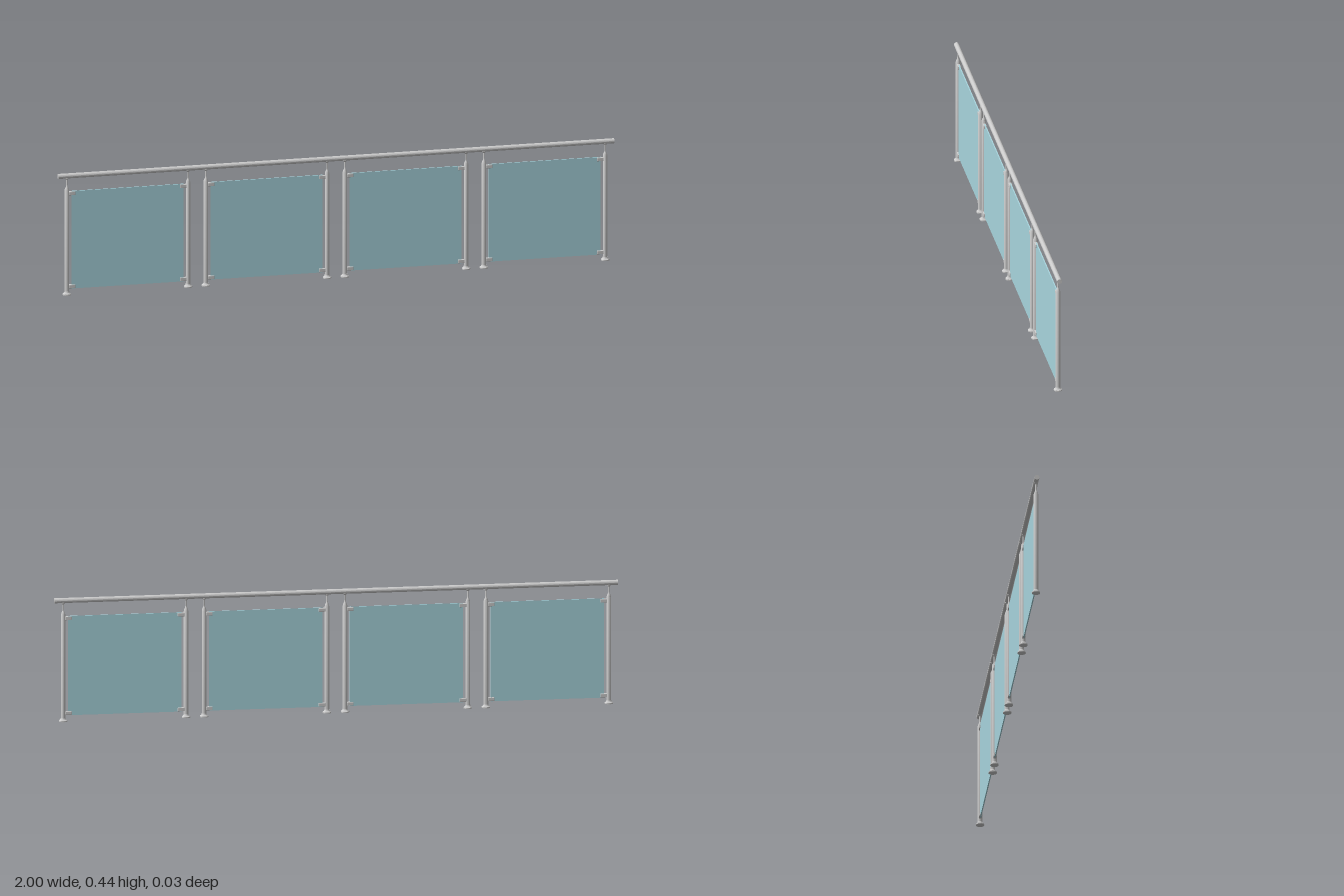
import * as THREE from 'three';
import { toCreasedNormals } from 'three/addons/utils/BufferGeometryUtils.js';
import { RoundedBoxGeometry } from 'three/addons/geometries/RoundedBoxGeometry.js';

const steel = new THREE.MeshStandardMaterial({ color: 0xcccccc });
const glass = new THREE.MeshStandardMaterial({ color: 0xa9d6df });

const PITCH = 0.5;        // distance between panel centres
const POST_X = 0.218;     // post offset from panel centre
const RAIL_Y = 0.434;

function addMesh(parent, name, geometry, material, x = 0, y = 0, z = 0) {
  const mesh = new THREE.Mesh(geometry, material);
  mesh.name = name;
  mesh.position.set(x, y, z);
  parent.add(mesh);
  return mesh;
}

// Turned part from [radius, height] pairs, with sharp steps kept crisp
function turned(points) {
  const profile = points.map(([r, y]) => new THREE.Vector2(r, y));
  return toCreasedNormals(new THREE.LatheGeometry(profile, 24), 0.6);
}

export function createModel() {
  const model = new THREE.Group();
  model.name = 'glassRailing';

  // Floor flange, tube, tapered neck and thin stem
  const flangeGeo = turned([[0, 0], [0.015, 0], [0.015, 0.004], [0.012, 0.006], [0.0095, 0.009], [0.0085, 0.013], [0, 0.013]]);
  const tubeGeo = turned([[0.0082, 0.004], [0.0082, 0.382], [0.0072, 0.387], [0.005, 0.392], [0.003, 0.396], [0.0027, 0.402], [0.0027, 0.424]]);
  // Small cup that carries the handrail
  const saddleGeo = turned([[0, 0.421], [0.004, 0.421], [0.0068, 0.425], [0.0068, 0.428], [0, 0.428]]);
  const clampGeo = new RoundedBoxGeometry(0.024, 0.013, 0.011, 2, 0.002);
  const paneGeo = new THREE.BoxGeometry(0.402, 0.356, 0.004);

  for (let i = 0; i < 4; i++) {
    const bay = new THREE.Group();
    bay.name = 'railingBay';
    bay.position.x = (i - 1.5) * PITCH;
    model.add(bay);

    addMesh(bay, 'glassPane', paneGeo, glass, 0, 0.2);

    for (const side of [-1, 1]) {
      const post = new THREE.Group();
      post.name = 'post';
      post.position.x = side * POST_X;
      bay.add(post);
      addMesh(post, 'postFlange', flangeGeo, steel);
      addMesh(post, 'postTube', tubeGeo, steel);
      addMesh(post, 'railSaddle', saddleGeo, steel);

      // Clamps gripping the pane near its corners
      for (const y of [0.03, 0.37]) addMesh(bay, 'glassClamp', clampGeo, steel, side * 0.2, y);
    }
  }

  // Continuous round handrail
  const railGeo = toCreasedNormals(new THREE.CylinderGeometry(0.009, 0.009, 2, 24), 0.6);
  addMesh(model, 'handrail', railGeo, steel, 0, RAIL_Y).rotation.z = Math.PI / 2;

  return model;
}
